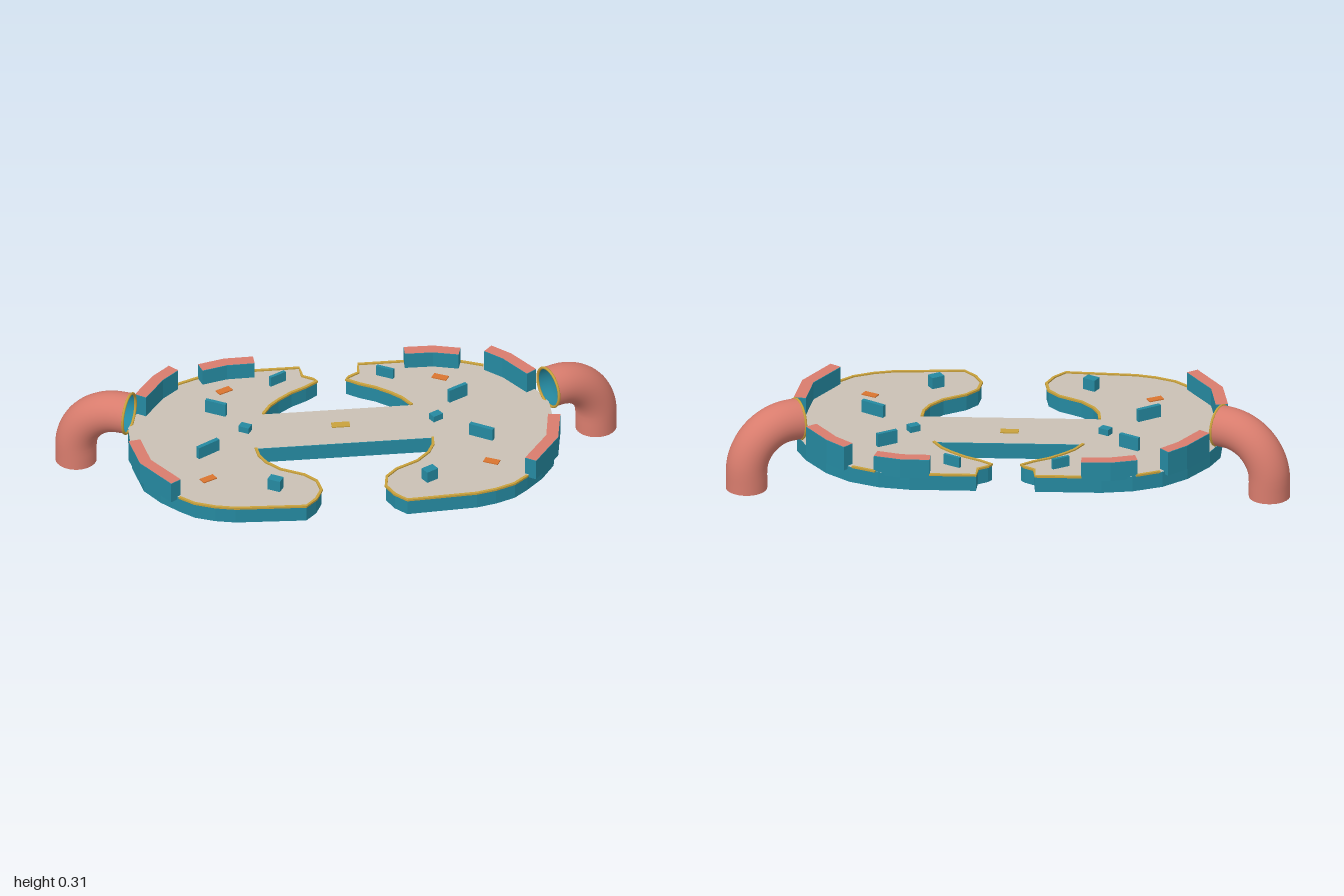
import * as THREE from 'three';

const mat = (name, color, side = THREE.FrontSide) => {
  const m = new THREE.MeshStandardMaterial({ color, side });
  m.name = name;
  return m;
};

const BASE = 0.108, FLOOR = 0.165;

// right half of the plan (x, z), from the rear of the bridge round to its front
const REAR_INNER = [[0.265, -0.165], [0.235, -0.215], [0.2, -0.25], [0.15, -0.29], [0.095, -0.32],
  [0.052, -0.352], [0.065, -0.368], [0.1, -0.39], [0.105, -0.445]];
const REAR_EDGE = [[0.27, -0.445], [0.34, -0.445]];
const OUTER = [[0.45, -0.428], [0.555, -0.385], [0.64, -0.315], [0.715, -0.21], [0.75, -0.13], [0.755, 0.04],
  [0.73, 0.19], [0.68, 0.27]];
const FRONT = [[0.62, 0.335], [0.57, 0.38], [0.5, 0.41], [0.43, 0.427], [0.33, 0.433], [0.18, 0.442],
  [0.14, 0.4], [0.115, 0.345], [0.125, 0.285], [0.165, 0.24], [0.245, 0.195], [0.29, 0.145],
  [0.31, 0.1], [0.315, 0.052]];

const shapeOf = (pts) => new THREE.Shape(pts.map(([x, z]) => new THREE.Vector2(x, -z)));
const mirror = (pts, s) => pts.map(([x, z]) => [x * s, z]);

// widen a polyline into a closed strip
function strip(pts, width) {
  const left = [], right = [];
  pts.forEach(([x, z], i) => {
    const a = pts[Math.max(i - 1, 0)], b = pts[Math.min(i + 1, pts.length - 1)];
    const dx = b[0] - a[0], dz = b[1] - a[1], k = width / 2 / Math.hypot(dx, dz);
    left.push([x - dz * k, z + dx * k]);
    right.unshift([x + dz * k, z - dx * k]);
  });
  return [...left, ...right];
}

function slab(pts, y0, y1) {
  const g = new THREE.ExtrudeGeometry(shapeOf(pts), { depth: y1 - y0, bevelEnabled: false });
  return g.rotateX(-Math.PI / 2).translate(0, y0, 0);
}

const sheet = (pts, y) => new THREE.ShapeGeometry(shapeOf(pts)).rotateX(-Math.PI / 2).translate(0, y, 0);

export function createModel() {
  const teal = mat('teal', 0x2589a0);
  const beige = mat('beige', 0xc9c0b4);
  const salmon = mat('salmon', 0xd87c6d);
  const gold = mat('gold', 0xc8a13c);
  const orange = mat('orange', 0xd9742f);
  const lining = teal.clone();
  lining.name = 'teal lining';
  lining.side = THREE.BackSide;

  const model = new THREE.Group();
  const add = (name, geometry, material, parent = model) => {
    const m = new THREE.Mesh(geometry, material);
    m.name = name;
    parent.add(m);
    return m;
  };

  // platform with two lobes and a bridge
  const half = [...REAR_INNER, ...REAR_EDGE, ...OUTER, ...FRONT];
  const plan = [...half, ...mirror(half, -1).reverse()];
  add('platform', slab(plan, BASE, FLOOR), teal);
  add('floor', sheet(plan, FLOOR + 0.002), beige);
  add('centreMarker', new THREE.BoxGeometry(0.065, 0.006, 0.03).translate(0, FLOOR + 0.003, -0.065), gold);

  // walls: centre line and top height
  const walls = [
    [[[0.748, 0.05], [0.725, 0.19], [0.632, 0.33]], 0.234],
    [[[0.56, -0.377], [0.622, -0.32], [0.697, -0.212]], 0.247],
    [[[0.268, -0.427], [0.37, -0.425], [0.462, -0.4]], 0.227],
  ];
  // posts: x, z, length, width, turn in degrees, top height
  const posts = [
    [0.43, -0.19, 0.078, 0.014, 30, 0.217],
    [0.34, -0.068, 0.04, 0.03, 30, 0.19],
    [0.488, 0.065, 0.092, 0.016, -32, 0.213],
    [0.275, 0.312, 0.048, 0.035, 30, 0.21],
    [0.192, -0.36, 0.066, 0.012, -30, 0.205],
  ];
  const markers = [[0.385, -0.33], [0.505, 0.228]];
  const trims = [
    [...REAR_INNER, REAR_EDGE[0]],
    [[0.462, -0.424], [0.545, -0.388]],
    FRONT,
  ];

  // pipe path: straight riser, quarter bend, short mouth towards the platform
  const foot = new THREE.Vector3(0.9265, 0, -0.21);
  const dir = new THREE.Vector3(-0.905, 0, 0.425).normalize();
  const R = 0.168, BEND = 0.064, PIPE = 0.0735;
  const pathPoint = (out, y) => foot.clone().addScaledVector(dir, out).setY(y);
  const points = [pathPoint(0, 0), pathPoint(0, 0.032)];
  for (let i = 0; i <= 10; i++) {
    const a = (i / 10) * Math.PI / 2;
    points.push(pathPoint(R * (1 - Math.cos(a)), BEND + R * Math.sin(a)));
  }
  const mouth = pathPoint(R + 0.03, BEND + R);
  points.push(mouth);

  for (const s of [1, -1]) {
    const side = new THREE.Group();
    side.name = s > 0 ? 'leftHalf' : 'rightHalf';
    model.add(side);

    for (const [line, top] of walls) {
      const outline = strip(mirror(line, s), 0.044);
      add('wall', slab(outline, FLOOR - 0.01, top - 0.002), teal, side);
      add('wallCap', sheet(outline, top), salmon, side);
    }

    for (const line of trims) {
      add('edgeTrim', slab(strip(mirror(line, s), 0.01), FLOOR, FLOOR + 0.007), gold, side);
    }

    for (const [x, z, length, width, turn, top] of posts) {
      const h = top - FLOOR;
      const post = add('post', new THREE.BoxGeometry(length, h, width), teal, side);
      post.position.set(x * s, FLOOR + h / 2, z);
      post.rotation.y = s * THREE.MathUtils.degToRad(turn);
    }

    for (const [x, z] of markers) {
      const marker = add('floorMarker', new THREE.BoxGeometry(0.055, 0.006, 0.028), orange, side);
      marker.position.set(x * s, FLOOR + 0.003, z);
      marker.rotation.y = s * THREE.MathUtils.degToRad(-27);
    }

    // bent pipe with a lining and a ring at the mouth
    const curve = new THREE.CatmullRomCurve3(points.map((p) => new THREE.Vector3(p.x * s, p.y, p.z)));
    add('pipe', new THREE.TubeGeometry(curve, 32, PIPE, 32), salmon, side);
    add('pipeLining', new THREE.TubeGeometry(curve, 32, PIPE - 0.002, 32), lining, side);
    const ring = add('pipeRing', new THREE.TorusGeometry(PIPE - 0.001, 0.005, 8, 32), gold, side);
    ring.position.set(mouth.x * s, mouth.y, mouth.z);
    ring.rotation.y = Math.atan2(dir.x * s, dir.z);
  }

  return model;
}
